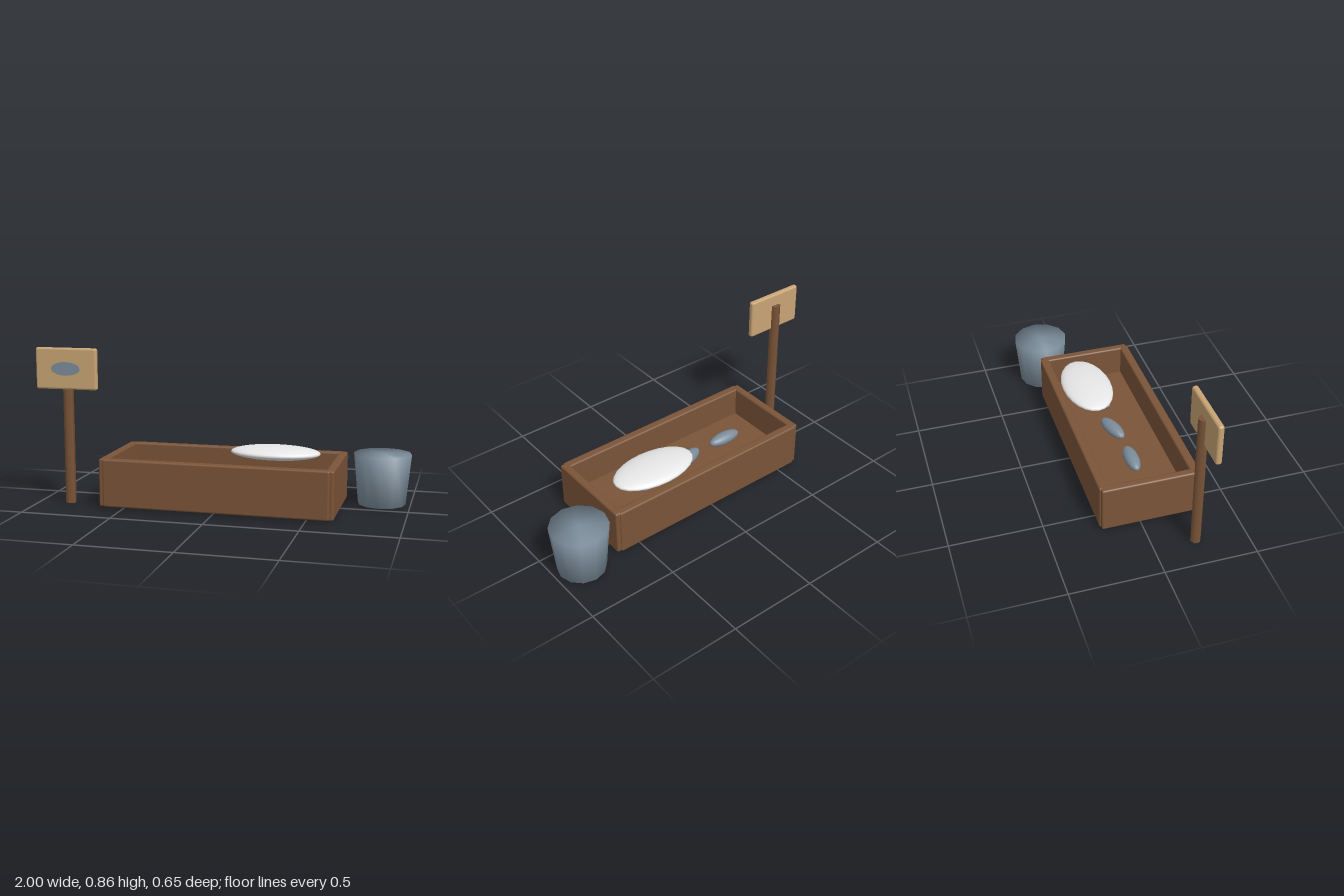
import * as THREE from 'three';
import { RoundedBoxGeometry } from 'three/addons/geometries/RoundedBoxGeometry.js';

const material = (name, color) => {
  const m = new THREE.MeshStandardMaterial({ color });
  m.name = name;
  return m;
};

export function createModel() {
  const model = new THREE.Group();
  const wood = material('dark wood', 0x7a5438);
  const board = material('pale wood', 0xc8a474);
  const slate = material('slate blue', 0x7b8c9a);
  const white = material('white', 0xe8e8e8);

  const add = (name, geometry, mat, x, y, z) => {
    const mesh = new THREE.Mesh(geometry, mat);
    mesh.name = name;
    mesh.position.set(x, y, z);
    model.add(mesh);
    return mesh;
  };
  const roundedBox = (name, mat, w, h, d, x, y, z, r = 0.01) =>
    add(name, new RoundedBoxGeometry(w, h, d, 2, r), mat, x, y, z);
  const ellipsoid = (name, mat, rx, ry, rz, x, y, z, turn = 0) => {
    const mesh = add(name, new THREE.SphereGeometry(1, 24, 16), mat, x, y, z);
    mesh.scale.set(rx, ry, rz);
    mesh.rotation.y = turn;
    return mesh;
  };

  // Open tray: floor, long walls and slightly shorter end walls
  const cx = 0.008, cz = 0.051;
  add('trayFloor', new THREE.BoxGeometry(1.22, 0.089, 0.49), wood, cx, 0.0555, cz);
  for (const s of [-1, 1]) {
    roundedBox('trayLongWall', wood, 1.228, 0.262, 0.05, cx, 0.141, cz + s * 0.248);
    roundedBox('trayEndWall', wood, 0.046, 0.262, 0.53, cx + s * 0.614, 0.141, cz);
  }

  // Flat pebbles in a row, each turned a little more, and the large white oval above
  [[-0.303, 0.05], [-0.02, 0.032], [0.265, 0.018]].forEach(([x, z], i) =>
    ellipsoid('pebble', slate, 0.103, 0.034, 0.04, x, 0.173, z, i * 0.3));
  ellipsoid('whiteOval', white, 0.25, 0.037, 0.14, 0.27, 0.284, -0.035);

  // Tapered bucket, closed at both ends and softly shaded across the rims
  const profile = [[0, 0], [0.131, 0], [0.158, 0.281], [0, 0.281]].map(p => new THREE.Vector2(...p));
  add('bucket', new THREE.LatheGeometry(profile, 12), slate, 0.842, 0, -0.167);

  // Sign: six-sided post, board and oval emblem plate
  add('signPost', new THREE.CylinderGeometry(0.029, 0.029, 0.79, 6), wood, -0.827, 0.395, 0.228);
  roundedBox('signBoard', board, 0.349, 0.226, 0.033, -0.8255, 0.746, 0.2465, 0.012);
  const plate = add('signOval', new THREE.CylinderGeometry(1, 1, 0.004, 24), slate, -0.828, 0.746, 0.262);
  plate.rotation.x = Math.PI / 2;
  plate.scale.set(0.083, 1, 0.037);

  return model;
}
